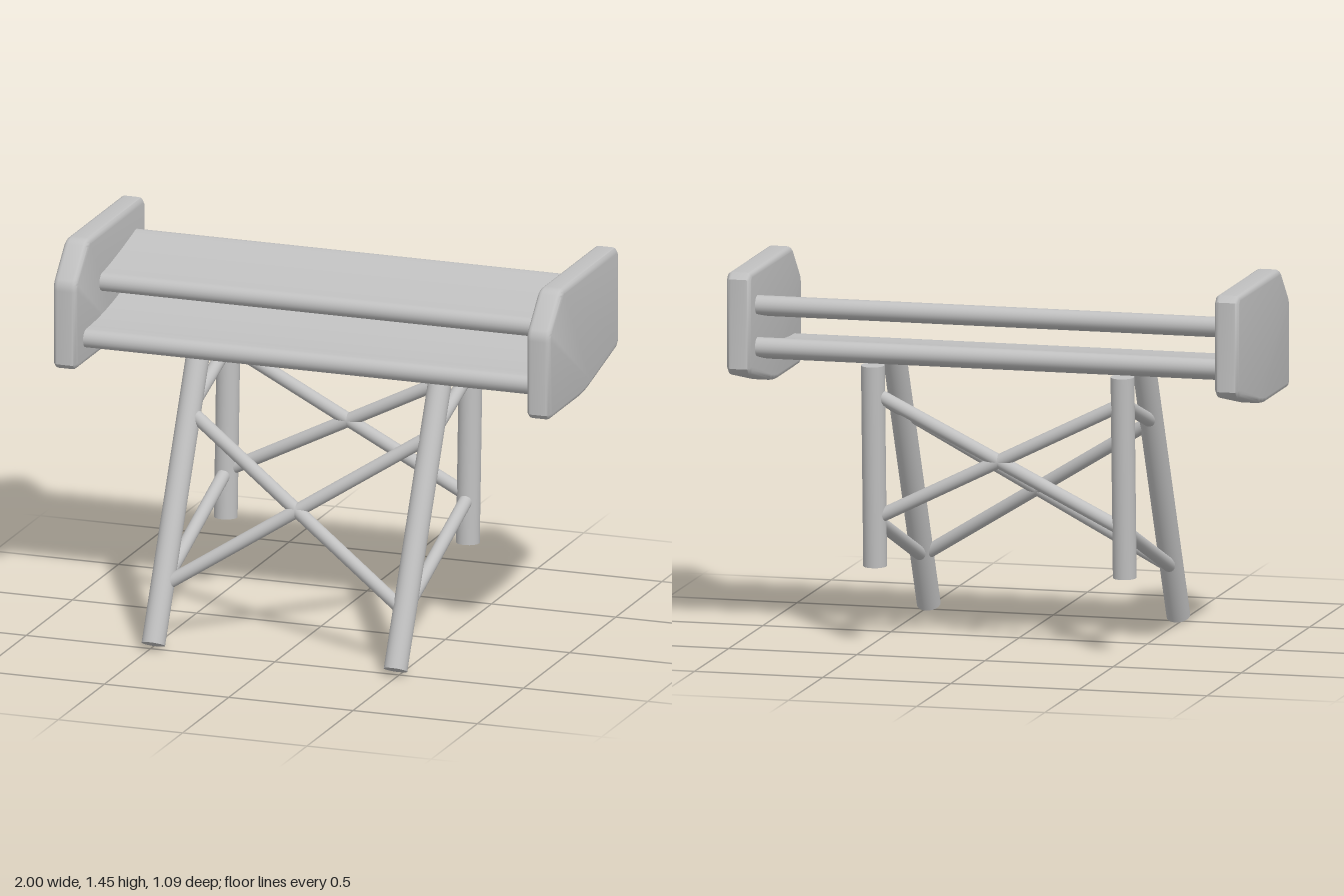
import * as THREE from 'three';
import { toCreasedNormals } from 'three/addons/utils/BufferGeometryUtils.js';

const grey = new THREE.MeshStandardMaterial({ color: 0xc0c0c0 });
grey.name = 'light grey';

function add(group, name, geometry) {
  const mesh = new THREE.Mesh(geometry, grey);
  mesh.name = name;
  group.add(mesh);
  return mesh;
}

// Round bar between two points
function bar(group, name, a, b, radius) {
  const from = new THREE.Vector3(...a), to = new THREE.Vector3(...b);
  const dir = to.clone().sub(from);
  const mesh = add(group, name, new THREE.CylinderGeometry(radius, radius, dir.length(), 24));
  mesh.position.copy(from).add(to).multiplyScalar(0.5);
  mesh.quaternion.setFromUnitVectors(new THREE.Vector3(0, 1, 0), dir.normalize());
}

// Side profile (drawn in -z, y) extruded along x, starting at x0
function sideExtrude(shape, x0, options) {
  const g = new THREE.ExtrudeGeometry(shape, options);
  g.rotateY(Math.PI / 2);
  g.translate(x0, 0, 0);
  return toCreasedNormals(g, 0.7);
}

// Curved blade of constant thickness with rounded leading and trailing edges
function blade(z0, y0, z1, y1, power) {
  const r = 0.036, n = 14, top = [], bottom = [], u0 = -z0, du = z0 - z1, dy = y1 - y0;
  const at = (t) => [u0 + du * t, y0 + dy * Math.pow(t, power)];
  const angle = (t) => Math.atan2(dy * power * Math.pow(t, power - 1), du);
  for (let i = 0; i <= n; i++) {
    const t = i / n, [u, v] = at(t), a = angle(t);
    top.push(new THREE.Vector2(u - Math.sin(a) * r, v + Math.cos(a) * r));
    bottom.push(new THREE.Vector2(u + Math.sin(a) * r, v - Math.cos(a) * r));
  }
  const cap = (t, start) => {
    const [u, v] = at(t), a = angle(t), pts = [];
    for (let i = 1; i < 10; i++) {
      const b = a + start + (i / 10) * Math.PI;
      pts.push(new THREE.Vector2(u + Math.cos(b) * r, v + Math.sin(b) * r));
    }
    return pts;
  };
  const outline = [...bottom, ...cap(1, -Math.PI / 2), ...top.reverse(), ...cap(0, Math.PI / 2)];
  return sideExtrude(new THREE.Shape(outline), -0.92, { depth: 1.84, bevelEnabled: false });
}

// End plate with a sloped front corner, a swept underside and softened edges
function endPlate() {
  const s = new THREE.Shape();
  s.moveTo(-0.2, 0.974);
  s.lineTo(0.12, 0.974);
  s.quadraticCurveTo(0.18, 0.976, 0.26, 0.996);
  s.lineTo(0.515, 1.055);
  s.lineTo(0.543, 1.082);
  s.lineTo(0.543, 1.425);
  s.lineTo(0.52, 1.45);
  s.lineTo(-0.05, 1.45);
  s.quadraticCurveTo(-0.08, 1.45, -0.1, 1.432);
  s.lineTo(-0.2, 1.328);
  s.quadraticCurveTo(-0.218, 1.308, -0.218, 1.28);
  s.lineTo(-0.218, 0.992);
  s.closePath();
  return sideExtrude(s, -0.0275, {
    depth: 0.055, bevelEnabled: true, bevelThickness: 0.02,
    bevelSize: 0.02, bevelOffset: -0.02, bevelSegments: 4, curveSegments: 6,
  });
}

export function createModel() {
  const model = new THREE.Group();
  model.name = 'rearWing';
  const X = 0.487, LEG = 0.045, STRUT = 0.026;
  const frontZ = (y) => 0.505 - 0.482 * (y - 0.022);
  const rearZ = (y) => -0.28 - 0.043 * (y - 0.305);
  const front = (x, y) => [x, y, frontZ(y)];
  const rear = (x, y) => [x, y, rearZ(y)];

  // Blades
  add(model, 'lowerBlade', blade(0.104, 1.073, -0.436, 1.153, 1.8));
  add(model, 'upperBlade', blade(-0.072, 1.246, -0.436, 1.314, 1.25));

  for (const s of [1, -1]) {
    const side = s > 0 ? 'left' : 'right';
    // End plates
    add(model, side + 'EndPlate', endPlate()).position.x = s * 0.9525;
    // Legs
    bar(model, side + 'FrontLeg', front(s * X, 0.022), front(s * X, 1.07), LEG);
    bar(model, side + 'RearLeg', rear(s * X, 0.305), rear(s * X, 1.08), LEG);
    // Side struts
    bar(model, side + 'LowerSideStrut', front(s * X, 0.225), rear(s * X, 0.487), STRUT);
    bar(model, side + 'UpperSideStrut', front(s * X, 0.835), rear(s * X, 0.975), STRUT);
    // Crossed braces between the legs
    bar(model, side + 'FrontCrossBrace', front(s * X, 0.225), front(-s * X, 0.835), STRUT);
    bar(model, side + 'RearCrossBrace', rear(s * X, 0.487), rear(-s * X, 0.975), STRUT);
  }
  return model;
}
